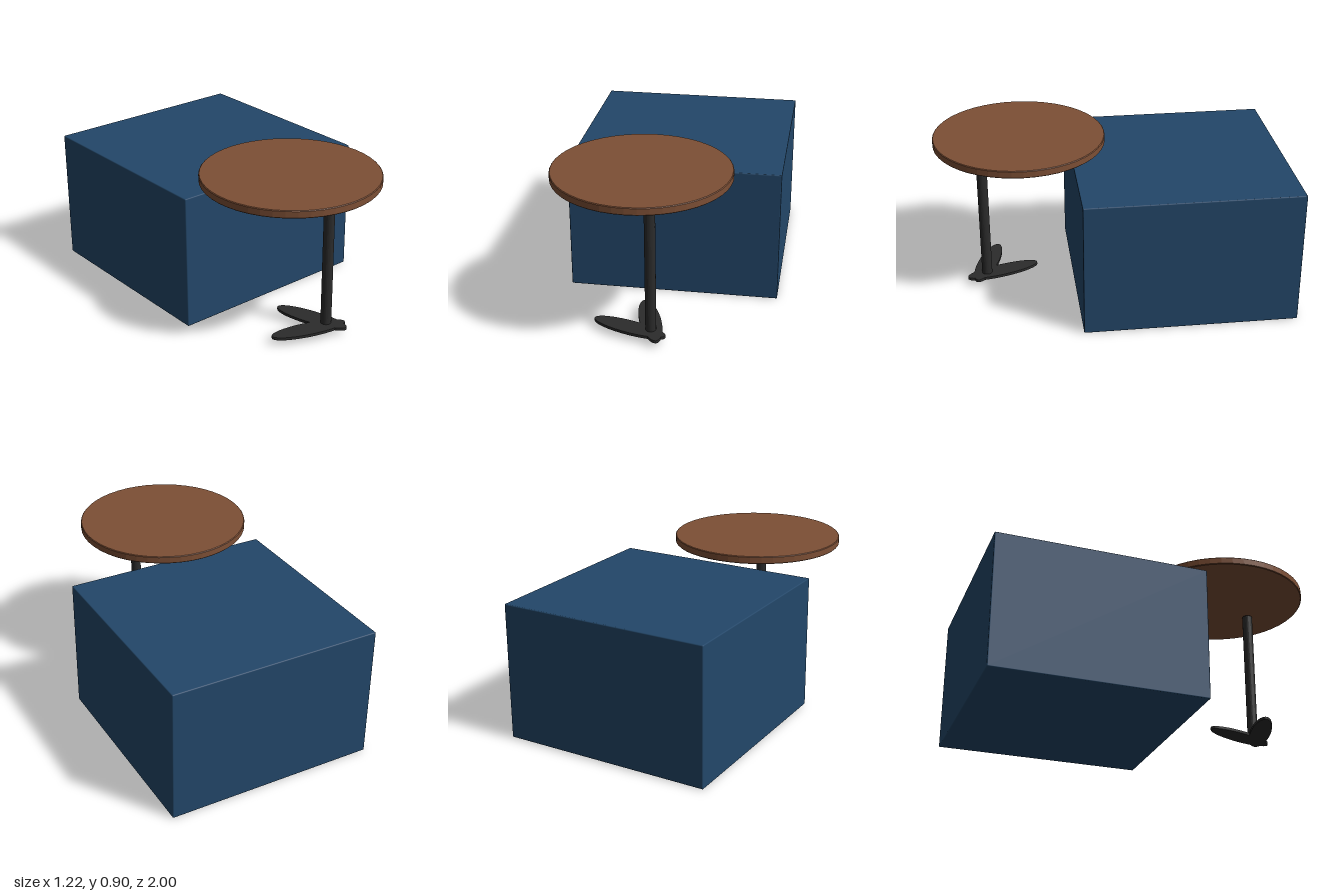
import * as THREE from 'three';
import { RoundedBoxGeometry } from 'three/addons/geometries/RoundedBoxGeometry.js';

const blue = new THREE.MeshStandardMaterial({ color: 0x234769 });
blue.name = 'blue fabric';
const wood = new THREE.MeshStandardMaterial({ color: 0x7d4f35 });
wood.name = 'brown wood';
const metal = new THREE.MeshStandardMaterial({ color: 0x2b2b2b });
metal.name = 'dark metal';

// Faceted disc or post, with its bottom at y = 0 and a small bevel on both rims
function bevelledDisc(radius, height, bevel, sides) {
  const profile = [
    [0, 0], [radius - bevel, 0], [radius, bevel],
    [radius, height - bevel], [radius - bevel, height], [0, height],
  ].map(([x, y]) => new THREE.Vector2(x, y));
  const geometry = new THREE.LatheGeometry(profile, sides).toNonIndexed();
  geometry.computeVertexNormals();
  return geometry;
}

function addPart(group, name, geometry, material, x, y, z) {
  const mesh = new THREE.Mesh(geometry, material);
  mesh.name = name;
  mesh.position.set(x, y, z);
  group.add(mesh);
  return mesh;
}

export function createModel() {
  const model = new THREE.Group();
  model.name = 'ottomanWithSideTable';

  // Upholstered block
  addPart(model, 'ottoman', new RoundedBoxGeometry(1.214, 0.78, 1.214, 2, 0.006), blue, 0.002, 0.39, -0.393);

  // Side table
  const table = new THREE.Group();
  table.name = 'sideTable';
  model.add(table);
  addPart(table, 'tableTop', bevelledDisc(0.492, 0.043, 0.004, 48), wood, -0.12, 0.86, 0.507);
  addPart(table, 'post', bevelledDisc(0.03, 0.808, 0.004, 24), metal, -0.04, 0.041, 0.73);

  // Two elliptical feet spread in a V under the post
  const length = 0.22, width = 0.06;
  const feet = [
    ['backFoot', -0.06, 0.635, Math.PI * 0.1],
    ['sideFoot', -0.16, 0.72, Math.PI * 0.4],
  ];
  for (const [name, x, z, turn] of feet) {
    const geometry = bevelledDisc(1, 0.016, 0.005, 40);
    geometry.scale(width, 1, length);
    geometry.computeVertexNormals();
    addPart(table, name, geometry, metal, x, 0.033, z).rotation.y = turn;
  }
  return model;
}
